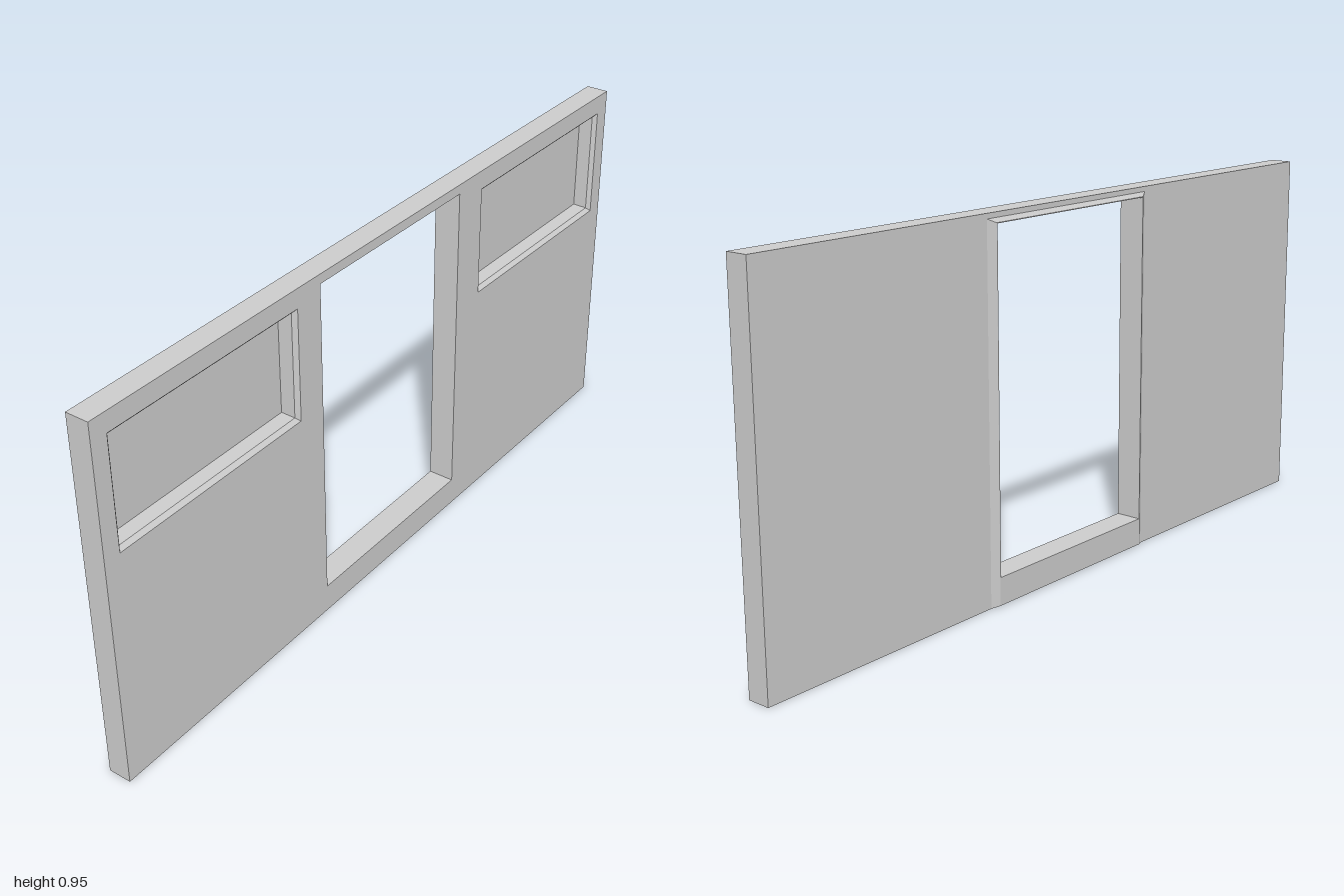
import * as THREE from 'three';

const material = new THREE.MeshStandardMaterial({ color: 0xcccccc, flatShading: true });

// Rectangles are [left, bottom, right, top]
const WALL = [-1, 0, 1, 0.955];
const DOOR = [-0.28, 0.075, 0.275, 0.93];
const WINDOWS = {
  rightWindowRecess: [-0.955, 0.612, -0.362, 0.905],
  leftWindowRecess: [0.375, 0.612, 0.955, 0.905],
};
const FRONT = 0.035, RECESS = -0.012, BACK = -0.025, FRAME = -0.035;

const corners = ([l, b, r, t]) => [[l, b], [r, b], [r, t], [l, t]];
const inset = ([l, b, r, t], d) => [l + d, b + d, r - d, t - d];

function mesh(name, geometry) {
  const m = new THREE.Mesh(geometry, material);
  m.name = name;
  return m;
}

// Rectangular slab with rectangular holes, from z0 to z1
function slab(name, outline, holes, z0, z1) {
  const points = (rect) => corners(rect).map(([x, y]) => new THREE.Vector2(x, y));
  const shape = new THREE.Shape(points(outline));
  shape.holes = holes.map((hole) => new THREE.Path(points(hole)));
  const geometry = new THREE.ExtrudeGeometry(shape, { depth: z1 - z0, bevelEnabled: false });
  return mesh(name, geometry.translate(0, 0, z0));
}

// Band of quads joining successive rectangles, each given as [rect, z]
function loft(name, loops) {
  const positions = [];
  for (let k = 0; k + 1 < loops.length; k++) {
    const [a, b] = [loops[k], loops[k + 1]].map(([rect, z]) => corners(rect).map((p) => [...p, z]));
    for (let i = 0; i < 4; i++) {
      const j = (i + 1) % 4;
      positions.push(...a[i], ...a[j], ...b[j], ...a[i], ...b[j], ...b[i]);
    }
  }
  const geometry = new THREE.BufferGeometry();
  geometry.setAttribute('position', new THREE.Float32BufferAttribute(positions, 3));
  geometry.computeVertexNormals();
  return mesh(name, geometry);
}

export function createModel() {
  const group = new THREE.Group();
  group.name = 'wallPanel';

  // Wall: front layer pierced by windows and doorway, back layer by the doorway only
  group.add(slab('wallFront', WALL, [DOOR, ...Object.values(WINDOWS)], RECESS, FRONT));
  group.add(slab('wallBack', WALL, [DOOR], BACK, RECESS));

  // Slightly tapered linings of the blind window recesses
  for (const [name, rect] of Object.entries(WINDOWS)) {
    group.add(loft(name, [[rect, FRONT], [inset(rect, 0.01), FRONT - 0.01], [inset(rect, 0.012), RECESS]]));
  }

  // Raised door surround on the back, with sloping outer edges
  group.add(loft('doorSurround', [
    [DOOR, BACK],
    [DOOR, FRAME],
    [[-0.282, 0.003, 0.278, 0.932], FRAME],
    [[-0.3, 0, 0.3, 0.942], BACK],
  ]));
  return group;
}
